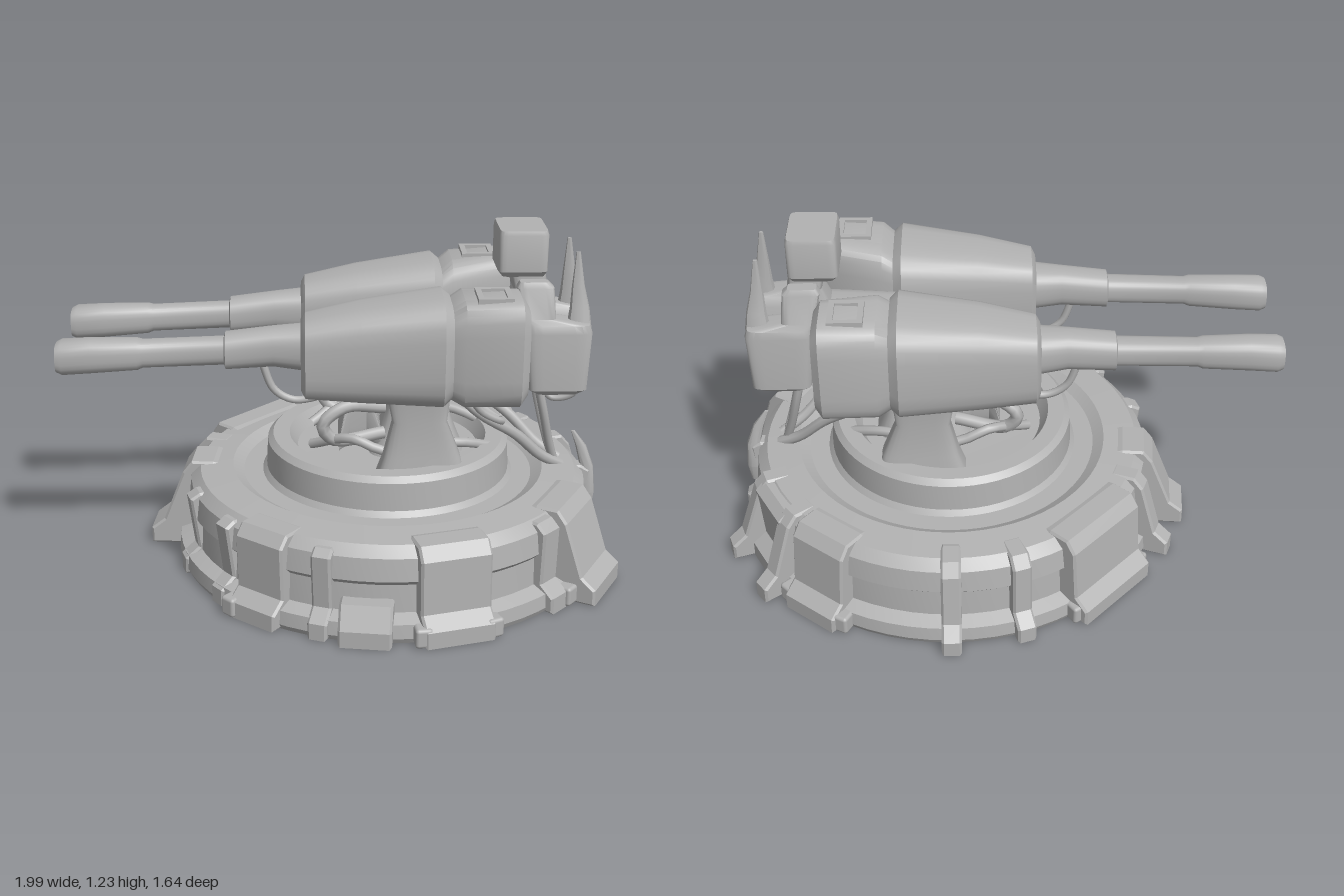
import * as THREE from 'three';
import { toCreasedNormals } from 'three/addons/utils/BufferGeometryUtils.js';
import { RoundedBoxGeometry } from 'three/addons/geometries/RoundedBoxGeometry.js';

const CX = 0.16; // centre of the round base along x
const gray = new THREE.MeshStandardMaterial({ color: 0xb2b2b2 });
gray.name = 'plain grey';

function add(group, name, geometry) {
  const mesh = new THREE.Mesh(geometry, gray);
  mesh.name = name;
  group.add(mesh);
  return mesh;
}

// Loft of rounded-square sections. Along x: [x, y0, y1, z0, z1]; upright: [y, z0, z1, x0, x1]
function loft(sections, { power = 0.5, sides = 24, upright = false, crease = 0.6 } = {}) {
  const pos = [], index = [];
  const put = (u, a, b) => (upright ? pos.push(b, u, a) : pos.push(u, a, b));
  const bend = (v) => Math.sign(v) * Math.pow(Math.abs(v), power);
  for (const [u, a0, a1, b0, b1] of sections) {
    for (let j = 0; j < sides; j++) {
      const t = ((j + 0.5) / sides) * Math.PI * 2;
      put(u, (a0 + a1) / 2 + (bend(Math.cos(t)) * (a1 - a0)) / 2,
        (b0 + b1) / 2 + (bend(Math.sin(t)) * Math.abs(b1 - b0)) / 2);
    }
  }
  const n = sections.length, first = n * sides;
  for (const s of [sections[0], sections[n - 1]]) put(s[0], (s[1] + s[2]) / 2, (s[3] + s[4]) / 2);
  for (let j = 0; j < sides; j++) {
    const k = (j + 1) % sides;
    for (let i = 0; i < n - 1; i++) {
      const a = i * sides + j, b = i * sides + k;
      index.push(a, b, a + sides, b, b + sides, a + sides);
    }
    index.push(first, k, j, first + 1, (n - 1) * sides + j, (n - 1) * sides + k);
  }
  const g = new THREE.BufferGeometry();
  g.setAttribute('position', new THREE.Float32BufferAttribute(pos, 3));
  g.setIndex(index);
  return toCreasedNormals(g, crease);
}

// Sections written for the left (+z) side, mirrored for the right
const sideX = (list, s) => list.map(([x, y0, y1, z0, z1]) => [x, y0, y1, Math.min(z0 * s, z1 * s), Math.max(z0 * s, z1 * s)]);
const sideY = (list, s) => list.map(([y, z0, z1, x0, x1]) => [y, Math.min(z0 * s, z1 * s), Math.max(z0 * s, z1 * s), x0, x1]);

const hose = (points, radius) => new THREE.TubeGeometry(
  new THREE.CatmullRomCurve3(points.map((p) => new THREE.Vector3(...p))), 20, radius, 8);

// Radial buttress with a flared foot
function buttress(angle, width, reach, height) {
  const s = new THREE.Shape();
  const low = height < 0.3;
  const pts = low
    ? [[0.6, 0], [reach, 0], [reach, 0.06], [reach - 0.04, height], [0.6, height]]
    : [[0.55, 0], [reach, 0], [reach, 0.06], [reach - 0.05, 0.1], [0.755, 0.29], [0.72, height], [0.64, height], [0.55, 0.31]];
  s.setFromPoints(pts.map(([r, y]) => new THREE.Vector2(r, y)));
  const b = 0.008;
  const g = new THREE.ExtrudeGeometry(s, {
    depth: width - 2 * b, bevelEnabled: true, bevelThickness: b, bevelSize: b, bevelOffset: -b, bevelSegments: 1,
  });
  g.translate(0, 0, -width / 2 + b);
  g.rotateY((-angle * Math.PI) / 180);
  g.translate(CX, 0, 0);
  return g;
}

function buildBase() {
  const base = new THREE.Group();
  base.name = 'base';
  // Round platform with raised turntable ring and sunken middle
  const profile = [[0, 0], [0.765, 0], [0.775, 0.02], [0.77, 0.07], [0.72, 0.09], [0.715, 0.19], [0.735, 0.21],
    [0.725, 0.29], [0.69, 0.325], [0.57, 0.335], [0.53, 0.31], [0.46, 0.31], [0.445, 0.33], [0.44, 0.43],
    [0.42, 0.45], [0.36, 0.45], [0.33, 0.4], [0, 0.39]].map(([r, y]) => new THREE.Vector2(r, y));
  const disc = new THREE.LatheGeometry(profile, 64);
  disc.translate(CX, 0, 0);
  add(base, 'platform', toCreasedNormals(disc, 0.5));
  // Buttresses: [angle, width, reach, height]
  const ribs = [
    [-90, 0.07, 0.83, 0.335], [-109, 0.07, 0.81, 0.33], [-136.5, 0.36, 0.82, 0.335], [-159, 0.07, 0.86, 0.33],
    [-175, 0.16, 0.88, 0.335], [142, 0.07, 0.78, 0.31], [128, 0.2, 0.8, 0.33], [98, 0.18, 0.81, 0.14],
    [75, 0.25, 0.81, 0.335], [44.5, 0.09, 0.8, 0.32], [29.5, 0.26, 0.87, 0.335], [0, 0.06, 0.79, 0.31],
    [-20, 0.07, 0.87, 0.33], [-38, 0.07, 0.87, 0.33], [-29, 0.22, 0.79, 0.32], [-52, 0.23, 0.82, 0.335],
    [110, 0.07, 0.79, 0.31], [163, 0.07, 0.78, 0.31],
  ];
  ribs.forEach((r) => add(base, 'buttress', buttress(...r)));
  // Bolt feet beside the larger buttresses
  for (const a of [66, 84, 19, 40, -124, -149, -61, -43, 135]) {
    const foot = add(base, 'footBolt', new RoundedBoxGeometry(0.07, 0.07, 0.06, 2, 0.012));
    const t = (a * Math.PI) / 180;
    foot.position.set(CX + 0.78 * Math.cos(t), 0.037, 0.78 * Math.sin(t));
    foot.rotation.y = -t;
  }
  // Pointed cable fin on the rear rim
  add(base, 'rimSpike', loft([[0.13, -0.02, 0.02, 0.9, 0.93], [0.2, -0.035, 0.035, 0.87, 0.94],
    [0.3, -0.025, 0.025, 0.88, 0.93], [0.38, -0.015, 0.015, 0.86, 0.9], [0.44, -0.005, 0.005, 0.84, 0.855]],
  { upright: true, power: 0.8, sides: 10 }));
  return base;
}

function buildMount() {
  const mount = new THREE.Group();
  mount.name = 'mount';
  add(mount, 'centreColumn', loft([[0.38, -0.14, 0.14, 0.08, 0.44], [0.48, -0.12, 0.12, 0.13, 0.4],
    [0.58, -0.08, 0.08, 0.16, 0.37], [0.72, -0.1, 0.1, 0.16, 0.45]], { upright: true }));
  add(mount, 'centreHousing', loft([[0.24, 0.68, 0.86, -0.08, 0.08], [0.3, 0.66, 0.92, -0.1, 0.1],
    [0.6, 0.66, 0.94, -0.1, 0.1], [0.68, 0.68, 0.92, -0.08, 0.08]]));
  add(mount, 'hub', loft([[-0.02, 0.4, 0.46, -0.1, 0.1], [0.02, 0.4, 0.66, -0.06, 0.06], [0.08, 0.4, 0.68, -0.06, 0.06],
    [0.13, 0.4, 0.5, -0.1, 0.1]]));
  for (const s of [1, -1]) {
    add(mount, 'sideSupport', loft(sideY([[0.38, 0.2, 0.34, 0.1, 0.42], [0.47, 0.22, 0.33, 0.13, 0.4],
      [0.6, 0.24, 0.32, 0.16, 0.35], [0.7, 0.23, 0.33, 0.14, 0.36]], s), { upright: true, power: 0.4 }));
    // Cables
    add(mount, 'rearHose', hose([[0.36, 0.68, 0.1 * s], [0.48, 0.57, 0.14 * s], [0.62, 0.47, 0.1 * s],
      [0.72, 0.37, 0.06 * s], [0.8, 0.32, 0.03 * s]], 0.02));
    add(mount, 'rearStrut', hose([[0.69, 0.68, 0.09 * s], [0.72, 0.55, 0.08 * s], [0.75, 0.42, 0.05 * s],
      [0.78, 0.32, 0.02 * s]], 0.016));
    add(mount, 'rearLoop', hose([[0.84, 0.67, 0.1 * s], [0.82, 0.62, 0.09 * s], [0.75, 0.6, 0.07 * s],
      [0.7, 0.65, 0.06 * s]], 0.012));
    add(mount, 'frontHose', hose([[0.14, 0.58, 0.1 * s], [0, 0.6, 0.15 * s], [-0.08, 0.54, 0.17 * s],
      [-0.04, 0.48, 0.16 * s], [0.14, 0.49, 0.12 * s]], 0.024));
    add(mount, 'floorHose', hose([[-0.12, 0.44, 0.1 * s], [0.02, 0.5, 0.2 * s], [0.14, 0.46, 0.22 * s],
      [0.4, 0.47, 0.17 * s], [0.56, 0.42, 0.1 * s]], 0.018));
    add(mount, 'braceHose', hose([[0.42, 0.7, 0.22 * s], [0.48, 0.6, 0.2 * s], [0.56, 0.55, 0.17 * s],
      [0.5, 0.58, 0.13 * s], [0.42, 0.68, 0.1 * s]], 0.014));
    // Rear counterweight pods with aerials
    add(mount, 'rearPod', loft(sideY([[0.64, 0.06, 0.15, 0.68, 0.83], [0.66, 0.04, 0.17, 0.65, 0.86],
      [0.87, 0.045, 0.17, 0.63, 0.87], [0.9, 0.06, 0.165, 0.63, 0.86], [0.92, 0.07, 0.15, 0.62, 0.74],
      [1.03, 0.08, 0.14, 0.6, 0.73], [1.05, 0.085, 0.13, 0.61, 0.71]], s), { upright: true, power: 0.35 }));
    add(mount, 'aerial', loft(sideY([[0.88, 0.08, 0.14, 0.78, 0.87], [0.95, 0.085, 0.125, 0.79, 0.86],
      [1.03, 0.085, 0.11, 0.795, 0.84], [1.15, 0.09, 0.1, 0.805, 0.82]], s), { upright: true, power: 0.8, sides: 10 }));
  }
  // Sensor box on its neck
  add(mount, 'sensorNeck', loft([[0.88, -0.08, 0.08, 0.55, 0.72], [1.0, -0.06, 0.06, 0.6, 0.72],
    [1.08, -0.06, 0.06, 0.58, 0.71]], { upright: true, power: 0.4 }));
  add(mount, 'sensorBox', loft([[1.06, -0.09, 0.09, 0.55, 0.7], [1.08, -0.105, 0.105, 0.535, 0.71],
    [1.21, -0.105, 0.105, 0.535, 0.71], [1.225, -0.1, 0.1, 0.54, 0.705]], { upright: true, power: 0.2 }));
  return mount;
}

function buildGun(s) {
  const gun = new THREE.Group();
  gun.name = s > 0 ? 'leftGun' : 'rightGun';
  add(gun, 'gunBody', loft(sideX([[-0.155, 0.71, 0.94, 0.13, 0.32], [-0.14, 0.685, 0.965, 0.11, 0.345],
    [0.05, 0.675, 1.005, 0.08, 0.375], [0.33, 0.665, 1.045, 0.05, 0.41], [0.36, 0.69, 1.02, 0.07, 0.39]], s)));
  add(gun, 'rearSection', loft(sideX([[0.34, 0.7, 1.0, 0.1, 0.37], [0.4, 0.67, 1.045, 0.1, 0.4],
    [0.59, 0.675, 1.055, 0.15, 0.41], [0.615, 0.71, 1.02, 0.17, 0.39]], s), { power: 0.42 }));
  // Stepped barrel, drooping slightly to the muzzle
  add(gun, 'barrel', loft(sideX([[-1, 0.765, 0.865, 0.14, 0.25], [-0.98, 0.755, 0.875, 0.135, 0.255],
    [-0.88, 0.76, 0.88, 0.14, 0.25], [-0.72, 0.772, 0.88, 0.15, 0.25], [-0.7, 0.78, 0.875, 0.155, 0.245],
    [-0.42, 0.79, 0.885, 0.155, 0.25], [-0.415, 0.775, 0.9, 0.14, 0.265], [-0.25, 0.785, 0.92, 0.14, 0.27],
    [-0.13, 0.77, 0.93, 0.13, 0.29]], s), { power: 0.7 }));
  add(gun, 'underHandle', hose([[-0.29, 0.79, 0.2 * s], [-0.25, 0.69, 0.2 * s], [-0.18, 0.65, 0.2 * s],
    [-0.07, 0.67, 0.2 * s], [0, 0.7, 0.2 * s]], 0.014));
  // Hatch frame on top of the rear section
  for (const [x, z, w, d] of [[0.45, 0.28, 0.02, 0.14], [0.55, 0.28, 0.02, 0.14], [0.5, 0.22, 0.12, 0.02], [0.5, 0.34, 0.12, 0.02]]) {
    add(gun, 'hatchFrame', new THREE.BoxGeometry(w, 0.02, d)).position.set(x, 1.05, z * s);
  }
  return gun;
}

export function createModel() {
  const model = new THREE.Group();
  model.name = 'twinGunTurret';
  model.add(buildBase(), buildMount(), buildGun(1), buildGun(-1));
  return model;
}
